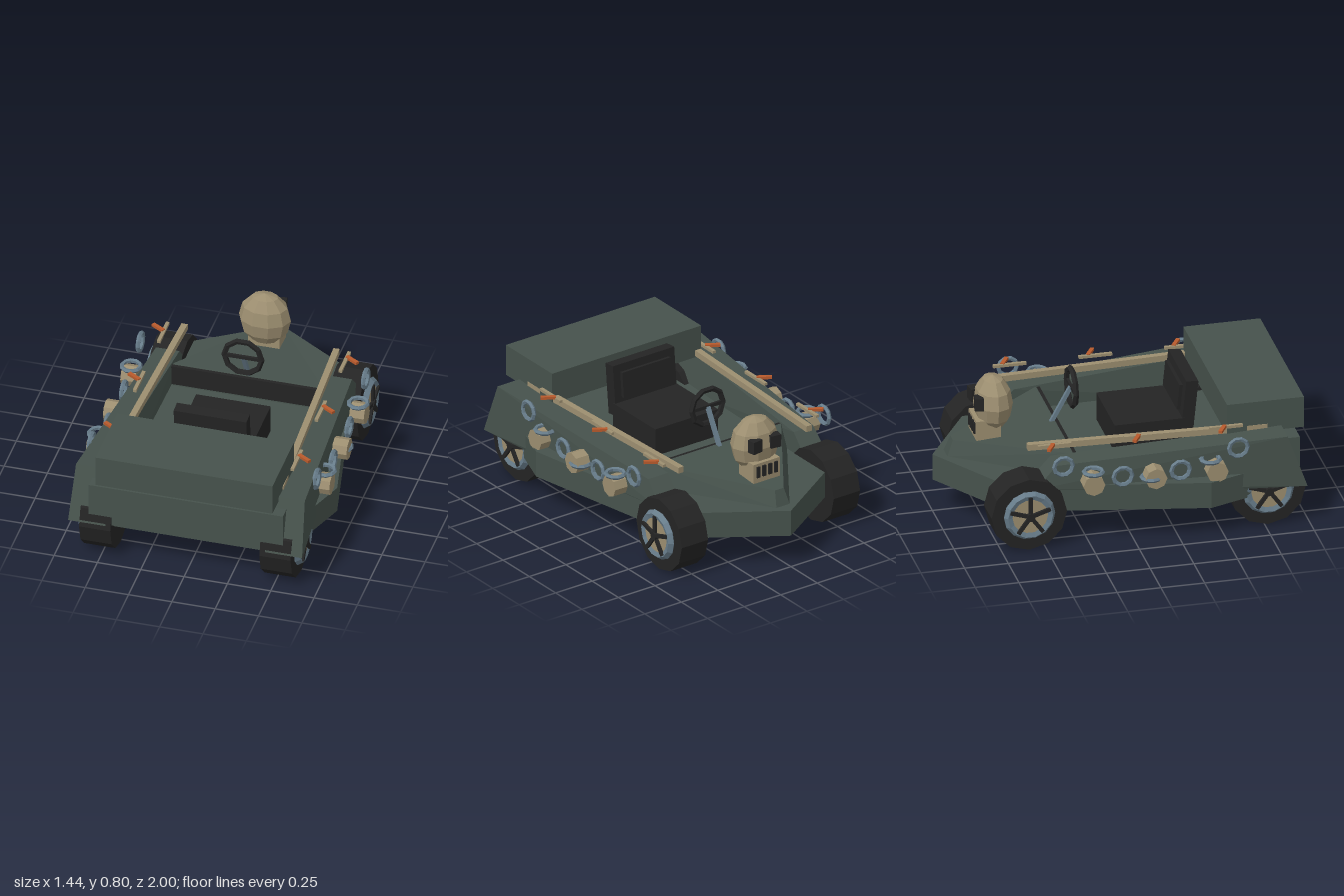
import * as THREE from 'three';
import { ConvexGeometry } from 'three/addons/geometries/ConvexGeometry.js';

const mat = (name, color) => {
  const m = new THREE.MeshStandardMaterial({ color, flatShading: true });
  m.name = name;
  return m;
};

export function createModel() {
  const green = mat('hull green', 0x46524c);
  const black = mat('black', 0x242424);
  const bone = mat('bone', 0x9c8e70);
  const slate = mat('slate metal', 0x677c8a);
  const orange = mat('orange', 0xb85a2c);

  const root = new THREE.Group();
  root.name = 'warCart';

  const add = (name, geo, material, pos = [0, 0, 0], rot = [0, 0, 0], parent = root) => {
    const m = new THREE.Mesh(geo, material);
    m.name = name;
    m.position.set(...pos);
    m.rotation.set(...rot);
    parent.add(m);
    return m;
  };
  const box = (name, size, material, pos, rot, parent) =>
    add(name, new THREE.BoxGeometry(...size), material, pos, rot, parent);
  const solid = (name, pts, material) =>
    add(name, new ConvexGeometry(pts.map((p) => new THREE.Vector3(...p))), material);
  // beam with a rectangular section between two points
  const beam = (name, a, b, w, h, material) => {
    const A = new THREE.Vector3(...a), B = new THREE.Vector3(...b);
    const m = box(name, [w, h, A.distanceTo(B)], material);
    m.position.copy(A).add(B).multiplyScalar(0.5);
    m.lookAt(B);
    return m;
  };

  // lower hull slab with pointed nose
  const half = [[0.5, -0.68], [0.72, 0.42], [0.55, 0.9]];
  const slab = [];
  for (const y of [0.19, 0.345]) {
    slab.push([0, y, -1]);
    for (const [x, z] of half) slab.push([x, y, z], [-x, y, z]);
  }
  solid('lowerHull', slab, green);

  // raised nose deck with steep sides
  const deck = [];
  for (const s of [-1, 1]) {
    deck.push([s * 0.045, 0.345, -0.925], [s * 0.455, 0.345, -0.33], [s * 0.455, 0.345, -0.28]);
    deck.push([s * 0.03, 0.435, -0.89], [s * 0.43, 0.475, -0.31], [s * 0.43, 0.475, -0.3]);
  }
  solid('noseDeck', deck, green);
  box('dashboard', [0.87, 0.12, 0.025], black, [0, 0.413, -0.292]);

  // side walls, leaning rear ends
  for (const s of [-1, 1]) {
    const p = [];
    const section = (z, y, xin, xout) => p.push([s * xin, y, z], [s * xout, y, z]);
    section(0.98, 0.24, 0.46, 0.675);
    section(0.87, 0.55, 0.5, 0.66);
    section(-0.43, 0.475, 0.43, 0.565);
    section(-0.55, 0.345, 0.43, 0.575);
    section(0.6, 0.25, 0.46, 0.645);
    solid('sideWall', p, green);
    beam('boneRail', [s * 0.438, 0.55, -0.565], [s * 0.497, 0.55, 0.79], 0.036, 0.036, bone);
    for (const z of [-0.455, 0.035, 0.525]) {
      box('boneStrip', [0.02, 0.016, 0.19], bone, [s * 0.524, 0.584, z + 0.025]);
      box('orangePeg', [0.085, 0.016, 0.022], orange,
        [s * 0.56, 0.59, z + s * 0.004], [0, -0.54, 0]);
    }
  }

  // rear panel and trunk
  box('rearPanel', [1.12, 0.25, 0.095], green, [0, 0.365, 0.917]);
  box('trunk', [1.02, 0.185, 0.44], green, [0, 0.6175, 0.78]);

  // seat
  box('seatCushion', [0.43, 0.165, 0.4], black, [0, 0.427, 0.19]);
  box('seatBack', [0.42, 0.3, 0.07], black, [0, 0.58, 0.42], [0.1, 0, 0]);
  box('seatPad', [0.33, 0.15, 0.02], black, [0, 0.615, 0.375], [0.1, 0, 0]);

  // steering wheel and column
  add('steeringWheel', new THREE.TorusGeometry(0.108, 0.017, 5, 10), black, [0, 0.67, -0.205]);
  box('steeringSpoke', [0.2, 0.02, 0.015], black, [0, 0.67, -0.205]);
  beam('steeringColumn', [0, 0.46, -0.325], [0, 0.67, -0.21], 0.022, 0.022, slate);

  // skull on the nose
  const skull = new THREE.Group();
  skull.name = 'skull';
  root.add(skull);
  add('cranium', new THREE.SphereGeometry(1, 10, 6), bone, [0, 0.635, -0.655], [0, 0, 0], skull)
    .scale.set(0.15, 0.163, 0.11);
  box('jaw', [0.18, 0.12, 0.14], bone, [0, 0.5, -0.7], [0, 0, 0], skull);
  for (const s of [-1, 1])
    box('eyeSocket', [0.065, 0.075, 0.05], black, [s * 0.065, 0.665, -0.75], [0, s * 0.15, 0], skull);
  for (let i = 0; i < 4; i++)
    box('toothGap', [0.022, 0.065, 0.02], black, [-0.06 + i * 0.04, 0.51, -0.77], [0, 0, 0], skull);

  // wheels
  const onAxle = [0, 0, Math.PI / 2];
  for (const s of [-1, 1]) for (const z of [-0.595, 0.77]) {
    const w = new THREE.Group();
    w.name = 'wheel';
    w.position.set(s * 0.52, 0.214, z);
    root.add(w);
    add('tyre', new THREE.CylinderGeometry(0.216, 0.216, 0.18, 12), black, [0, 0, 0], onAxle, w);
    add('rim', new THREE.TorusGeometry(0.12, 0.027, 5, 14), slate,
      [s * 0.095, 0, 0], [0, Math.PI / 2, 0], w);
    add('hubDisc', new THREE.CylinderGeometry(0.105, 0.105, 0.03, 10), bone, [s * 0.097, 0, 0], onAxle, w);
    for (let i = 0; i < 5; i++) {
      const a = (i * Math.PI * 2) / 5;
      box('spoke', [0.02, 0.12, 0.022], black,
        [s * 0.117, Math.cos(a) * 0.06, Math.sin(a) * 0.06], [a, 0, 0], w);
    }
    add('hubCap', new THREE.CylinderGeometry(0.025, 0.025, 0.03, 8), black, [s * 0.118, 0, 0], onAxle, w);
  }

  // draped chains and bone discs on both flanks
  const upright = [[0.59, 0.51], [0.26, 0.41], [-0.07, 0.41], [-0.41, 0.51]];
  const flat = [[0.43, 0.46], [0.09, 0.39], [-0.24, 0.46]];
  const link = new THREE.TorusGeometry(0.053, 0.013, 5, 10);
  const disc = new THREE.CylinderGeometry(0.062, 0.062, 0.085, 8);
  for (const s of [-1, 1]) {
    for (const [z, y] of upright)
      add('chainLink', link, slate, [s * 0.65, y, z], [0, Math.PI / 2, 0]);
    for (const [z, y] of flat)
      add('chainLink', link, slate, [s * 0.655, y, z], [Math.PI / 2, 0, 0]);
    for (const z of [0.46, 0.11, -0.245])
      add('boneDisc', disc, bone, [s * 0.66, 0.395, z], onAxle);
  }

  return root;
}
